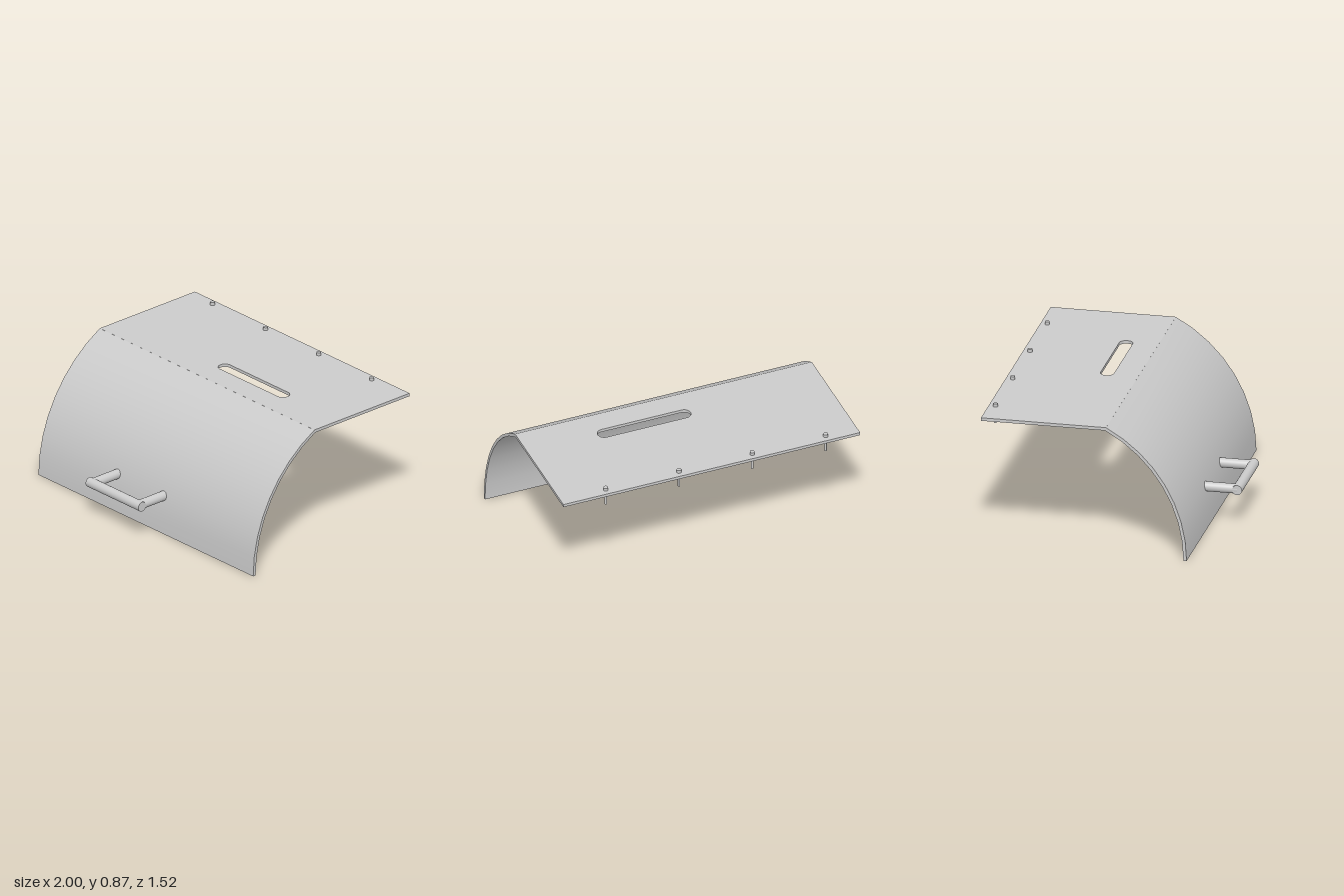
import * as THREE from 'three';
import { toCreasedNormals } from 'three/addons/utils/BufferGeometryUtils.js';

const material = new THREE.MeshStandardMaterial({ color: 0xcccccc });

function add(parent, name, geometry, x = 0, y = 0, z = 0) {
  const mesh = new THREE.Mesh(geometry, material);
  mesh.name = name;
  mesh.position.set(x, y, z);
  parent.add(mesh);
  return mesh;
}

export function createModel() {
  const model = new THREE.Group();
  model.name = 'curvedCover';
  const top = 0.848, thick = 0.02;

  // Curved front: arc cross-section in (z, y), swept across the width
  const centreZ = -0.4, outerR = 0.955, steps = 8;
  const arc = (r, height) => {
    const end = Math.asin(height / r);
    return Array.from({ length: steps + 1 }, (_, i) => {
      const a = (end * i) / steps;
      return new THREE.Vector2(centreZ + r * Math.cos(a), r * Math.sin(a));
    });
  };
  const section = new THREE.Shape([
    ...arc(outerR, top),
    ...arc(outerR - thick, top - thick).reverse(),
  ]);
  const front = new THREE.ExtrudeGeometry(section, { depth: 2, bevelEnabled: false });
  front.rotateY(-Math.PI / 2).translate(1, 0, 0);
  add(model, 'curvedFront', toCreasedNormals(front, 0.3));

  // Flat top plate with a round-ended slot (shape y is -z)
  const plate = new THREE.Shape();
  plate.moveTo(-1, -0.04).lineTo(1, -0.04).lineTo(1, 0.76).lineTo(-1, 0.76).closePath();
  const slotR = 0.043, slotY = 0.163;
  const slot = new THREE.Path();
  slot.absarc(-0.1 + slotR, slotY, slotR, -Math.PI / 2, Math.PI / 2, true);
  slot.absarc(0.525 - slotR, slotY, slotR, Math.PI / 2, -Math.PI / 2, true);
  slot.closePath();
  plate.holes.push(slot);
  const plateGeo = new THREE.ExtrudeGeometry(plate, {
    depth: thick, bevelEnabled: false, curveSegments: 12,
  });
  plateGeo.rotateX(-Math.PI / 2);
  add(model, 'topPlate', toCreasedNormals(plateGeo, 0.5), 0, top - thick, 0);

  // Row of pins along the rear edge
  for (const x of [-0.785, -0.291, 0.203, 0.697]) {
    const pin = new THREE.Group();
    pin.name = 'pin';
    pin.position.set(x, 0, -0.715);
    add(pin, 'pinHead', new THREE.CylinderGeometry(0.015, 0.015, 0.02, 20), 0, top + 0.01, 0);
    add(pin, 'pinShaft', new THREE.CylinderGeometry(0.008, 0.008, 0.108, 16), 0, 0.794, 0);
    model.add(pin);
  }

  // Handle: a bar on two posts that pass through the curved front
  const handle = new THREE.Group();
  handle.name = 'handle';
  handle.position.set(0, 0.24, 0);
  const r = 0.032, barZ = 0.728, postBack = 0.47;
  const bar = new THREE.CylinderGeometry(r, r, 0.492, 28).rotateZ(Math.PI / 2);
  add(handle, 'handleBar', bar, -0.088, 0, barZ);
  const postLength = barZ - postBack;
  for (const x of [-0.304, 0.126]) {
    const post = new THREE.CylinderGeometry(r - 0.001, r - 0.001, postLength, 28).rotateX(Math.PI / 2);
    add(handle, 'handlePost', post, x, 0, postBack + postLength / 2);
  }
  model.add(handle);

  return model;
}
